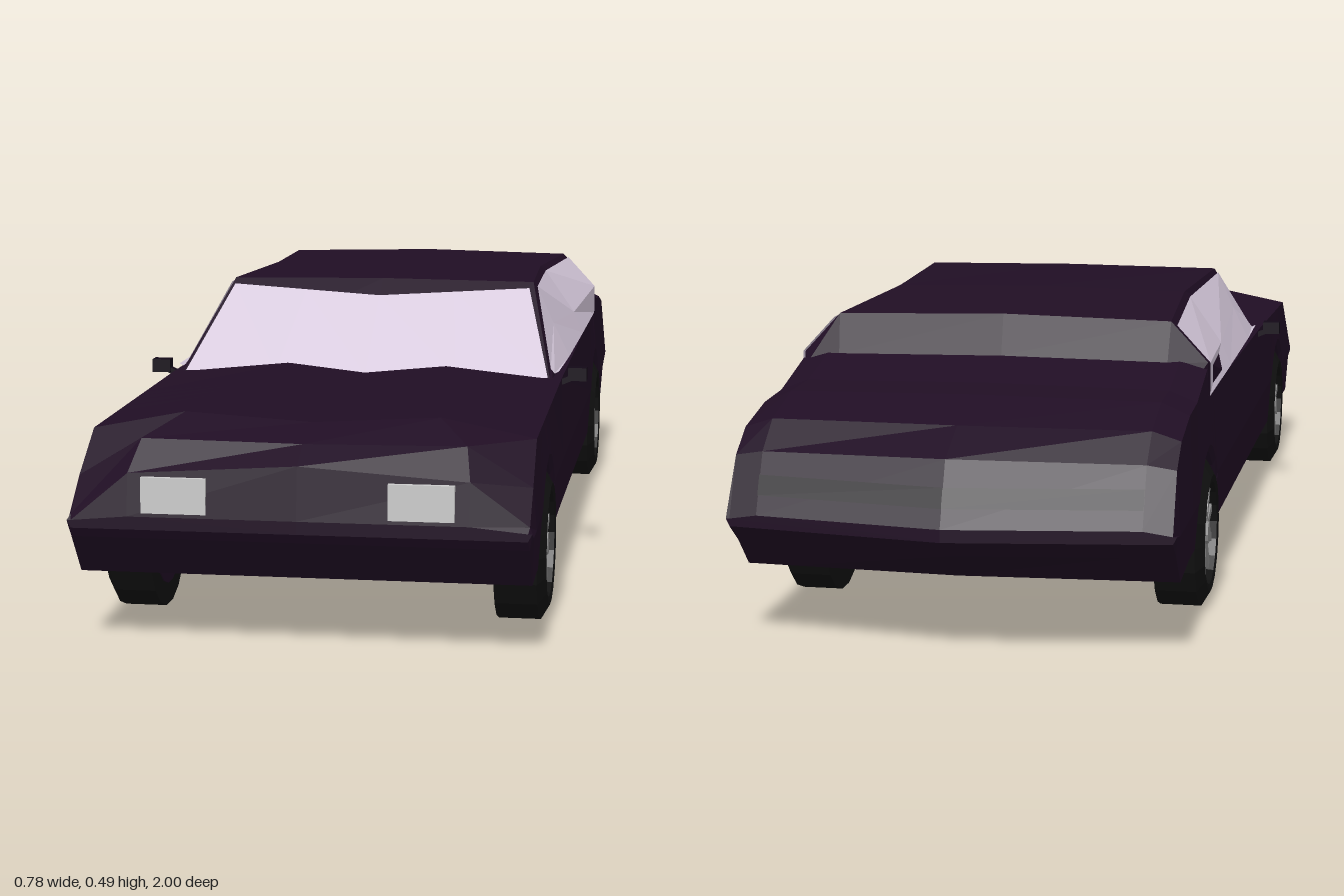
import * as THREE from 'three';

const mat = (color, side = THREE.FrontSide) =>
  new THREE.MeshStandardMaterial({ color, side, flatShading: true });
const paint = mat(0x200e24);
const rubber = mat(0x111111);
const metal = mat(0x8c8c8c);
const lamp = mat(0xcccccc);
const trim = mat(0x120816);
const glass = mat(0xd6c9dc, THREE.DoubleSide);

function add(parent, name, geometry, material, x = 0, y = 0, z = 0) {
  const mesh = new THREE.Mesh(geometry, material);
  mesh.name = name;
  mesh.position.set(x, y, z);
  parent.add(mesh);
  return mesh;
}

// Surface over rows of [x, y, z] points; closed rows also get end caps.
function skin(rows, closed) {
  const n = rows[0].length, index = [];
  for (let i = 0; i < rows.length - 1; i++) {
    for (let j = 0; j < (closed ? n : n - 1); j++) {
      const a = i * n + j, b = i * n + (j + 1) % n;
      index.push(a, a + n, b, b, a + n, b + n);
    }
  }
  if (closed) {
    const last = (rows.length - 1) * n;
    for (let j = 1; j < n - 1; j++) {
      index.push(0, j, j + 1, last, last + j + 1, last + j);
    }
  }
  const g = new THREE.BufferGeometry();
  g.setAttribute('position', new THREE.Float32BufferAttribute(rows.flat(2), 3));
  g.setIndex(index);
  g.computeVertexNormals();
  return g;
}

// Half section from bottom centre to top centre, mirrored into a ring.
const ring = half => [...half, ...half.slice(1, -1).reverse().map(([x, y, z]) => [-x, y, z])];
const mix = (a, b, t) => a.map((v, i) => v + (b[i] - v) * t);

const WHEEL_Z = [0.68, -0.55], WHEEL_Y = 0.122, ARCH = 0.135;

// z, half width, floor y, belt y, shoulder x, shoulder y, centre y, corner pull
const BODY = [
  [1.0, 0.347, 0.195, 0.207, 0.26, 0.215, 0.215, 0],
  [0.99, 0.349, 0.18, 0.215, 0.26, 0.28, 0.297, 0],
  [0.94, 0.349, 0.115, 0.265, 0.25, 0.325, 0.322, 0],
  [0.86, 0.347, 0.112, 0.325, 0.2, 0.354, 0.342, 0],
  [0.34, 0.345, 0.112, 0.338, 0.14, 0.355, 0.343, 0],
  [-0.53, 0.345, 0.112, 0.348, 0.3, 0.36, 0.36, 0],
  [-0.54, 0.345, 0.112, 0.395, 0.3, 0.408, 0.412, 0],
  [-0.67, 0.345, 0.125, 0.362, 0.3, 0.38, 0.384, 0],
  [-0.76, 0.345, 0.125, 0.357, 0.3, 0.377, 0.38, 0],
  [-0.88, 0.345, 0.115, 0.335, 0.3, 0.35, 0.352, 0.02],
  [-0.96, 0.345, 0.165, 0.3, 0.3, 0.308, 0.315, 0.05],
  [-1.0, 0.345, 0.195, 0.207, 0.3, 0.215, 0.215, 0.05],
];

function bodySection(z) {
  let i = 0;
  while (i < BODY.length - 2 && BODY[i + 1][0] > z) i++;
  const [, w, floor, belt, sx, sy, top, pull] =
    mix(BODY[i], BODY[i + 1], (z - BODY[i][0]) / (BODY[i + 1][0] - BODY[i][0]));
  let arch = floor;
  for (const c of WHEEL_Z) {
    const d = Math.abs(z - c);
    if (d < ARCH) arch = Math.max(floor, WHEEL_Y + Math.sqrt(ARCH * ARCH - d * d));
  }
  const ridge = Math.max(0.2, arch + 0.012);
  return ring([
    [0, floor], [0.27, floor], [0.27, arch], [w, arch],
    [w + 0.006, ridge], [w, belt], [sx, sy], [0, top],
  ].map(([x, y]) => [x, y, z + pull * x / 0.345]));
}

function addBody(car) {
  const stations = BODY.map(s => s[0]);
  for (const c of WHEEL_Z) {
    for (let k = 0; k <= 8; k++) stations.push(c + ARCH * Math.cos(k * Math.PI / 8));
  }
  stations.sort((a, b) => b - a);
  add(car, 'body', skin(stations.map(bodySection), true), paint);
}

// Cabin half sections: sill, window bend, roof edge, roof centre
const CABIN = [
  [0.345, [0.335, 0.335], [0.33, 0.338], [0.325, 0.34], [0, 0.343]],
  [0.13, [0.34, 0.335], [0.31, 0.41], [0.277, 0.484], [0, 0.487]],
  [-0.2, [0.343, 0.335], [0.325, 0.39], [0.262, 0.48], [0, 0.485]],
  [-0.53, [0.345, 0.335], [0.345, 0.405], [0.283, 0.472], [0, 0.478]],
  [-0.55, [0.335, 0.335], [0.335, 0.39], [0.28, 0.405], [0, 0.41]],
];

function addCabin(car) {
  const half = CABIN.map(([z, ...pts]) => pts.map(([x, y]) => [x, y, z]));
  add(car, 'cabin', skin(half.map(p => ring([[0, 0.33, p[0][2]], ...p])), true), paint);

  // Side windows, slightly proud of the cabin
  const frames = [0, 1, 2, 3].map(i => i ? half[i] : half[0].map((p, k) => mix(p, half[1][k], 0.1)));
  for (const s of [1, -1]) {
    const rows = frames.map(([sill, bend, roof]) => {
      const low = [sill[0], Math.min(0.349, roof[1]), sill[2]];
      return [low, bend, mix(bend, roof, 0.9)].map(([x, y, z]) => [s * (x + 0.004), y, z]);
    });
    add(car, s > 0 ? 'leftWindow' : 'rightWindow', skin(rows, false), glass);
  }

  // Windshield with a top edge that dips at the centre
  const shield = [-1, -0.5, 0, 0.5, 1].map(t => {
    const top = 0.457 + 0.015 * Math.abs(t);
    const z = y => 0.35 - (y - 0.335) * 1.41;
    return [[0.322 * t, 0.337, z(0.337)], [0.272 * t, top, z(top) + 0.001]]
      .map(([x, y, zz]) => [x, y + 0.004, zz + 0.002]);
  });
  add(car, 'windshield', skin(shield, false), glass);
}

function makeWheel() {
  const wheel = new THREE.Group();
  const tyre = [[0.02, 0], [0.122, 0], [0.122, 0.068], [0.098, 0.082], [0.086, 0.08], [0.084, 0.06]];
  add(wheel, 'tyre', new THREE.LatheGeometry(tyre.map(p => new THREE.Vector2(...p)), 18), rubber);
  add(wheel, 'rimDisc', new THREE.CylinderGeometry(0.085, 0.085, 0.066, 18), paint, 0, 0.031, 0);
  add(wheel, 'hub', new THREE.CylinderGeometry(0.018, 0.022, 0.014, 10), metal, 0, 0.07, 0);
  for (let i = 0; i < 10; i++) {
    const a = i * Math.PI / 5;
    const spoke = add(wheel, 'spoke', new THREE.BoxGeometry(0.07, 0.01, 0.015), metal,
      0.048 * Math.cos(a), 0.067, -0.048 * Math.sin(a));
    spoke.rotation.y = a;
  }
  return wheel;
}

export function createModel() {
  const car = new THREE.Group();
  car.name = 'car';
  addBody(car);
  addCabin(car);

  for (const s of [1, -1]) {
    const side = s > 0 ? 'left' : 'right';
    // Wheels
    WHEEL_Z.forEach((z, i) => {
      const wheel = makeWheel();
      wheel.name = side + (i ? 'RearWheel' : 'FrontWheel');
      wheel.position.set(s * 0.275, WHEEL_Y, z);
      wheel.rotation.z = -s * Math.PI / 2;
      car.add(wheel);
    });
    // Headlights and door mirrors
    add(car, side + 'Headlight', new THREE.BoxGeometry(0.1, 0.055, 0.03), lamp, s * 0.188, 0.248, 0.985);
    add(car, side + 'Mirror', new THREE.BoxGeometry(0.032, 0.023, 0.024), trim, s * 0.372, 0.345, 0.318);
    const stem = add(car, side + 'MirrorStem', new THREE.BoxGeometry(0.035, 0.01, 0.014), trim, s * 0.352, 0.334, 0.318);
    stem.rotation.z = s * 0.4;
  }

  // Dark band across the tail, following the pointed rear
  const band = [-0.3, 0, 0.3].map(x => [0.245, 0.275].map(y =>
    [x, y, -1.003 + (y - 0.215) * 0.4 + 0.05 * Math.abs(x) / 0.345]));
  add(car, 'tailBand', skin(band, false), mat(0x120816, THREE.DoubleSide));
  return car;
}
